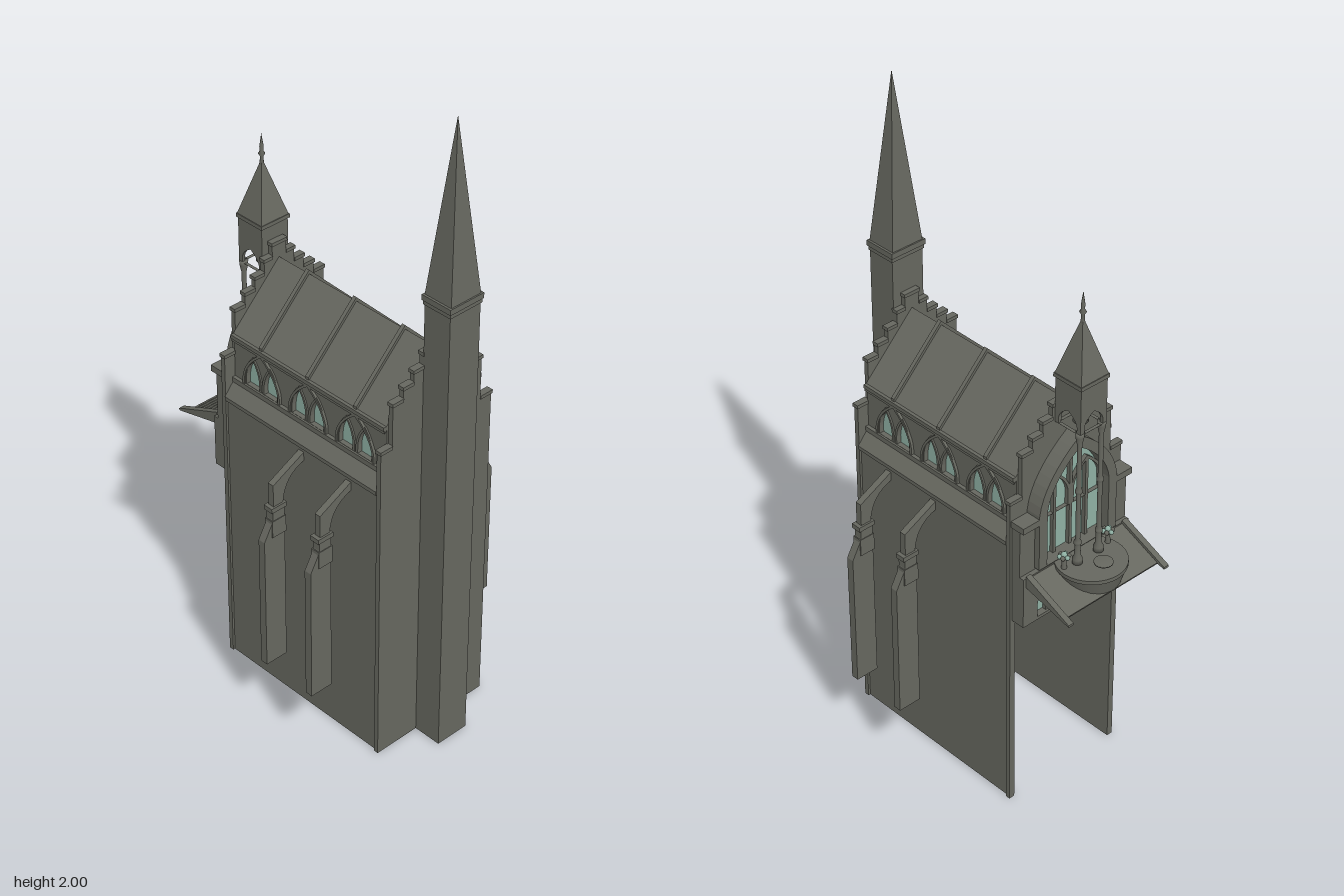
import * as THREE from 'three';

const mat = (name, color) => {
  const m = new THREE.MeshStandardMaterial({ color });
  m.name = name;
  return m;
};

export function createModel() {
  const stone = mat('stone', 0x66675f);
  const glass = mat('paleGreenGlass', 0x8fb0a3);
  const model = new THREE.Group();
  model.name = 'gothicChapel';

  const group = (name, parent = model) => {
    const g = new THREE.Group();
    g.name = name;
    parent.add(g);
    return g;
  };
  const add = (name, geo, m, parent, x = 0, y = 0, z = 0) => {
    const mesh = new THREE.Mesh(geo, m);
    mesh.name = name;
    mesh.position.set(x, y, z);
    parent.add(mesh);
    return mesh;
  };
  // Box given by its min and max corners
  const box = (name, x0, x1, y0, y1, z0, z1, parent = model) =>
    add(name, new THREE.BoxGeometry(x1 - x0, y1 - y0, z1 - z0), stone, parent,
      (x0 + x1) / 2, (y0 + y1) / 2, (z0 + z1) / 2);
  const poly = (pts) => new THREE.Shape(pts.map((p) => new THREE.Vector2(...p)));
  const extrude = (shape, depth) =>
    new THREE.ExtrudeGeometry(shape, { depth, bevelEnabled: false, curveSegments: 8 });
  // Extrude along x; profile points are (-z, y)
  const extrudeX = (shape, depth) => extrude(shape, depth).rotateY(Math.PI / 2);
  const pyramid = (half, h) => {
    const g = new THREE.ConeGeometry(half * Math.SQRT2, h, 4).rotateY(Math.PI / 4).toNonIndexed();
    g.computeVertexNormals();
    return g;
  };
  const lathe = (pts, n = 12) => new THREE.LatheGeometry(pts.map((p) => new THREE.Vector2(...p)), n);
  // Pointed arch outline, half width w, height h, springing at s
  const arch = (w, h, s, cx = 0, y = 0, Type = THREE.Shape) => {
    const a = new Type();
    a.moveTo(cx - w, y);
    a.lineTo(cx + w, y);
    a.lineTo(cx + w, y + s);
    a.quadraticCurveTo(cx + w * 0.9, y + s + (h - s) * 0.55, cx, y + h);
    a.quadraticCurveTo(cx - w * 0.9, y + s + (h - s) * 0.55, cx - w, y + s);
    a.lineTo(cx - w, y);
    return a;
  };
  const archRing = (w, h, s, t) => {
    const r = arch(w, h, s);
    r.holes.push(arch(w - t, h - t * 1.3, s, 0, 0.001, THREE.Path));
    return r;
  };

  // Long sides, built once and turned round for the back
  const bays = [-0.185, 0, 0.185];
  for (const turn of [0, Math.PI]) {
    const side = group(turn ? 'backSide' : 'frontSide');
    side.position.x = 0.055;
    side.rotation.y = turn;
    box('wall', -0.305, 0.305, 0, 0.92, 0.188, 0.2, side);
    add('slopedLedge', extrudeX(poly([[-0.21, 0.91], [-0.15, 0.91], [-0.15, 0.963], [-0.175, 0.963], [-0.21, 0.922]]), 0.6), stone, side, -0.3);
    box('windowSill', -0.3, 0.3, 0.96, 0.975, 0.15, 0.181, side);
    box('eaveMoulding', -0.3, 0.3, 1.105, 1.117, 0.15, 0.183, side);

    const wall = poly([[-0.3, 0.97], [0.3, 0.97], [0.3, 1.115], [-0.3, 1.115]]);
    for (const b of bays) for (const o of [-0.036, 0.036])
      wall.holes.push(arch(0.026, 0.09, 0.025, b + o, 0.976, THREE.Path));
    add('clerestoryWall', extrude(wall, 0.018), stone, side, 0, 0, 0.152);
    for (const b of bays) {
      add('windowHood', extrude(archRing(0.075, 0.128, 0.02, 0.008), 0.008), stone, side, b, 0.974, 0.17);
      for (const o of [-0.036, 0.036]) {
        add('lancetFrame', extrude(archRing(0.034, 0.1, 0.025, 0.008), 0.005), stone, side, b + o, 0.975, 0.17);
        add('lancetGlass', extrude(arch(0.028, 0.093, 0.025), 0.004), glass, side, b + o, 0.974, 0.156);
      }
    }

    // Flying buttresses
    for (const x of turn ? [0, -0.185] : [0, 0.185]) {
      const f = group('flyingButtress', side);
      f.position.x = x;
      add('pier', extrudeX(poly([[-0.35, 0.225], [-0.275, 0.225], [-0.275, 0.73], [-0.316, 0.73], [-0.322, 0.71], [-0.35, 0.66]]), 0.024), stone, f, -0.012);
      box('pierCollar', -0.015, 0.015, 0.665, 0.72, 0.272, 0.322, f);
      box('pierShaft', -0.013, 0.013, 0.72, 0.755, 0.276, 0.318, f);
      box('pierCap', -0.016, 0.016, 0.75, 0.765, 0.27, 0.325, f);
      const s = poly([[-0.313, 0.763], [-0.278, 0.763]]);
      s.quadraticCurveTo(-0.272, 0.845, -0.198, 0.865);
      s.lineTo(-0.198, 0.893);
      s.lineTo(-0.313, 0.836);
      s.lineTo(-0.313, 0.763);
      add('flyer', extrudeX(s, 0.02), stone, f, -0.01);
    }
  }

  // Roof and ribs
  const chevron = (lift, half, t) => {
    const e = 1.29 - half + lift;
    return poly([[-half, e], [-half, e - t], [0, 1.29 + lift - t], [half, e - t], [half, e], [0, 1.29 + lift]]);
  };
  add('roof', extrudeX(chevron(0, 0.18, 0.015), 0.6), stone, model, -0.245);
  for (const b of bays)
    add('roofRib', extrudeX(chevron(0.012, 0.177, 0.02), 0.012), stone, model, 0.049 + b);

  // Stepped gables: closed at the tower end, open below at the other
  const steps = [[0.207, 1.056], [0.165, 1.19], [0.127, 1.225], [0.09, 1.26], [0.055, 1.3], [0.025, 1.34]];
  const gable = (open) => {
    const half = [];
    if (open) half.push([0, 0.66], [0.188, 0.66], [0.188, 0]);
    else half.push([0, 0]);
    half.push([0.207, 0]);
    steps.forEach(([z, y], i) => {
      half.push([z, y]);
      half.push([steps[i + 1] ? steps[i + 1][0] : 0, y]);
    });
    const mirror = half.slice(1, -1).reverse().map(([z, y]) => [-z, y]);
    return poly([...half, ...mirror]);
  };
  for (const [x, open] of [[-0.26, true], [0.355, false]]) {
    add('steppedGable', extrudeX(gable(open), 0.015), stone, model, x);
    steps.forEach(([z, y], i) => {
      const inner = steps[i + 1] ? steps[i + 1][0] : 0;
      for (const s of [-1, 1])
        box('stepCoping', x - 0.003, x + 0.018, y - 0.008, y + 0.003,
          Math.min(s * inner, s * (z + 0.003)), Math.max(s * inner, s * (z + 0.003)));
    });
  }

  // Tall tower
  const tower = group('tower');
  tower.position.x = 0.415;
  box('shaft', -0.046, 0.046, 0, 1.46, -0.055, 0.055, tower);
  box('lowerBand', -0.049, 0.049, 1.452, 1.465, -0.058, 0.058, tower);
  box('upperBand', -0.052, 0.052, 1.465, 1.482, -0.061, 0.061, tower);
  add('spire', pyramid(0.054, 0.518), stone, tower, 0, 1.741, 0).scale.x = 0.88;

  // Entrance front: tracery panel, side blocks, hooded window
  const facade = group('entranceFront');
  const panel = poly([[-0.2, 0.655], [0.2, 0.655], [0.2, 0.82], [-0.2, 0.82]]);
  for (const z of [-0.105, 0, 0.105]) panel.holes.push(arch(0.042, 0.11, 0.04, z, 0.665, THREE.Path));
  add('traceryPanel', extrudeX(panel, 0.045), stone, facade, -0.305);
  for (const z of [-0.105, 0, 0.105]) {
    add('panelGlass', extrudeX(arch(0.044, 0.112, 0.04), 0.006), glass, facade, -0.285, 0.664, z);
    box('panelMullion', -0.298, -0.28, 0.665, 0.77, z - 0.004, z + 0.004, facade);
  }
  for (const s of [-1, 1]) {
    const z = s * 0.17;
    box('sideBlock', -0.29, -0.255, 0.82, 0.98, z - 0.03, z + 0.03, facade);
    box('sideBlockCap', -0.308, -0.255, 0.975, 0.995, z - 0.034, z + 0.034, facade);
  }
  add('windowHood', extrudeX(archRing(0.145, 0.375, 0.18, 0.03), 0.05), stone, facade, -0.308, 0.825, 0);
  add('archGlass', extrudeX(arch(0.118, 0.34, 0.18), 0.006), glass, facade, -0.266, 0.825, 0);
  for (const z of [-0.06, 0, 0.06])
    box('archMullion', -0.278, -0.262, 0.825, z ? 1.08 : 1.15, z - 0.005, z + 0.005, facade);
  for (const z of [-0.06, 0.06])
    add('archTracery', extrudeX(archRing(0.058, 0.13, 0.05, 0.009), 0.014), stone, facade, -0.278, 0.96, z);

  // Sloped canopy with boards
  const canopy = group('canopy');
  for (let i = 0; i < 8; i++) {
    const x = -0.312 - i * 0.0172;
    add('board', new THREE.BoxGeometry(0.0185, 0.012, 0.36).rotateZ(0.5), stone, canopy, x, 0.808 - i * 0.0072, 0);
  }
  for (const s of [-1, 1]) {
    add('endBracket', extrude(poly([[-0.47, 0.75], [-0.305, 0.79], [-0.305, 0.828], [-0.47, 0.757]]), 0.018), stone, canopy, 0, 0, s * 0.182 - 0.009);
    box('rafter', -0.42, -0.305, 0.75, 0.765, s * 0.09 - 0.007, s * 0.09 + 0.007, canopy);
  }

  // Rounded balcony with basin and rosettes
  const balcony = group('balcony');
  add('platform', new THREE.CylinderGeometry(0.1, 0.085, 0.05, 32), stone, balcony, -0.36, 0.785, 0);
  add('rim', new THREE.CylinderGeometry(0.102, 0.102, 0.012, 32), stone, balcony, -0.36, 0.814, 0);
  add('corbel', new THREE.CylinderGeometry(0.085, 0.06, 0.012, 32), stone, balcony, -0.36, 0.754, 0);
  add('basin', lathe([[0, 0], [0.012, 0], [0.008, 0.008], [0.027, 0.014], [0.027, 0.018], [0, 0.018]], 20), stone, balcony, -0.407, 0.819, 0);
  for (const s of [-1, 1]) {
    const r = group('rosette', balcony);
    r.position.set(-0.34, 0.82, s * 0.083);
    add('stem', new THREE.CylinderGeometry(0.005, 0.008, 0.04, 8), stone, r, 0, 0.02, 0);
    add('bud', new THREE.SphereGeometry(0.009, 10, 8), glass, r, 0, 0.045, 0);
    for (let i = 0; i < 6; i++) {
      const a = (i * Math.PI) / 3;
      add('petal', new THREE.SphereGeometry(0.007, 8, 6), i % 2 ? glass : stone, r, 0.013 * Math.cos(a), 0.04, 0.013 * Math.sin(a));
    }
  }

  // Bell turret on slender columns
  const turret = group('bellTurret');
  turret.position.x = -0.309;
  const column = lathe([[0, 0.82], [0.015, 0.82], [0.015, 0.835], [0.01, 0.845], [0.008, 0.88], [0.011, 0.885],
    [0.011, 0.892], [0.007, 0.9], [0.007, 1.05], [0.01, 1.055], [0.01, 1.062], [0.007, 1.07], [0.007, 1.21],
    [0.012, 1.235], [0.013, 1.248], [0, 1.248]]);
  for (const s of [-1, 1]) add('column', column, stone, turret, -0.038, 0, s * 0.04);
  const face = poly([[-0.048, 1.245], [0.048, 1.245], [0.048, 1.315], [-0.048, 1.315]]);
  face.holes.push(arch(0.034, 0.058, 0.02, 0, 1.2455, THREE.Path));
  for (let i = 0; i < 4; i++) {
    const pivot = group('archedFace', turret);
    pivot.rotation.y = (i * Math.PI) / 2;
    add('arch', extrude(face, 0.01), stone, pivot, 0, 0, 0.038);
  }
  box('body', -0.048, 0.048, 1.31, 1.392, -0.048, 0.048, turret);
  box('cornice', -0.052, 0.052, 1.388, 1.4, -0.052, 0.052, turret);
  add('roof', pyramid(0.05, 0.175), stone, turret, 0, 1.4865, 0);
  add('finial', lathe([[0.006, 1.55], [0.005, 1.58], [0.01, 1.588], [0.005, 1.596], [0.006, 1.61], [0, 1.65]], 10), stone, turret);
  add('bell', lathe([[0, 1.25], [0.022, 1.25], [0.015, 1.265], [0.012, 1.285], [0, 1.295]]), stone, turret);
  box('bellHanger', -0.003, 0.003, 1.285, 1.315, -0.003, 0.003, turret);

  return model;
}
